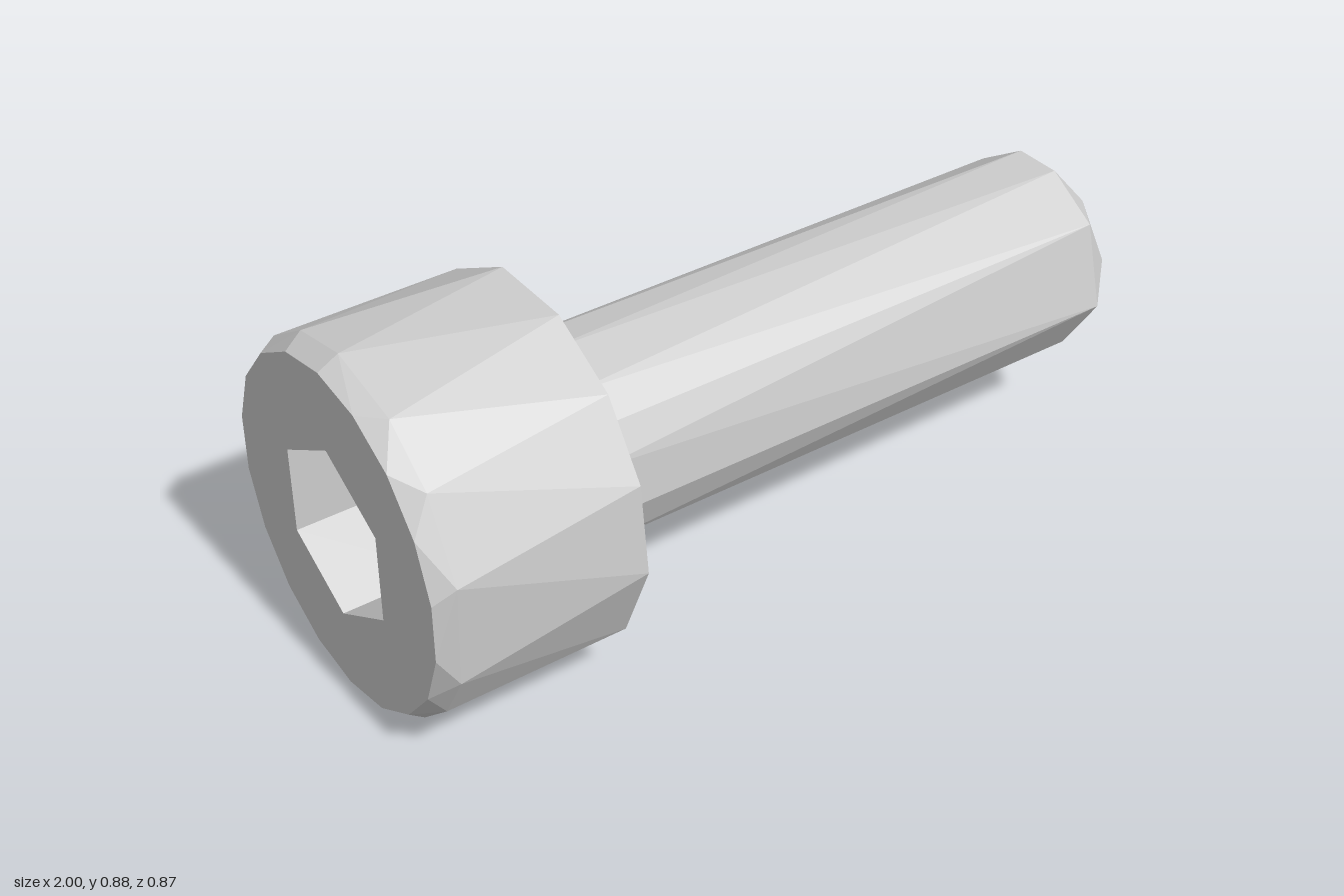
import * as THREE from 'three';

const AXIS_Y = 0.4375;
const RAD = Math.PI / 180;
const regular = (n, start = 0) => Array.from({ length: n }, (_, i) => start + (i * 360) / n);

// Rings lie across the x axis: position x, radius r, corner angles (from +z towards +y)
const ring = (x, r, angles) => ({ x, r, angles });

// Joins consecutive rings with triangles, even where their corner counts differ
function loft(name, rings, material) {
  const pos = [];
  const angle = (g, i) => g.angles[i % g.angles.length] + 360 * Math.floor(i / g.angles.length);
  const put = (g, i) => {
    const a = angle(g, i) * RAD;
    pos.push(g.x, AXIS_Y + g.r * Math.sin(a), g.r * Math.cos(a));
  };
  for (let k = 0; k + 1 < rings.length; k++) {
    const A = rings[k], B = rings[k + 1];
    const nA = A.angles.length, nB = B.angles.length;
    let i = 0, j = 0;
    while (i < nA || j < nB) {
      const midA = angle(A, i) + angle(A, i + 1), midB = angle(B, j) + angle(B, j + 1);
      if (j === nB || (i < nA && midA <= midB)) {
        if (A.r > 0) { put(A, i); put(B, j); put(A, i + 1); }
        i++;
      } else {
        if (B.r > 0) { put(A, i); put(B, j); put(B, j + 1); }
        j++;
      }
    }
  }
  const geometry = new THREE.BufferGeometry();
  geometry.setAttribute('position', new THREE.Float32BufferAttribute(pos, 3));
  geometry.computeVertexNormals();
  const mesh = new THREE.Mesh(geometry, material);
  mesh.name = name;
  return mesh;
}

export function createModel() {
  const material = new THREE.MeshStandardMaterial({ color: 0xcccccc, flatShading: true });
  const group = new THREE.Group();
  group.name = 'socketHeadScrew';

  const hex = regular(6, 30);
  const shoulder = [14, 41, 63, 90, 112, 133, 155, 174, 194, 216, 237, 270, 303, 321, 340];
  const headUnder = [20.5, 47, 74, 103, 133, 168, 198, 227, 255, 286, 321, 352];
  const neck = [20, 39, 60, 90, 113, 140, 152, 178, 205, 222, 245, 268, 300, 325, 350];
  const shankEnd = [39, 76, 104, 140, 170, 200, 245, 270, 304, 349];
  const tip = [12, 56, 90, 107, 145, 180, 232, 270, 287];

  // Hexagonal drive recess: floor and walls
  group.add(loft('hexSocket', [
    ring(-0.75, 0, hex),
    ring(-0.75, 0.2165, hex),
    ring(-1, 0.2165, hex),
  ], material));

  // Head: end face around the recess, eased rim, side and underside
  group.add(loft('head', [
    ring(-1, 0.2165, hex),
    ring(-1, 0.41, regular(18, 10)),
    ring(-0.95, 0.4375, shoulder),
    ring(-0.5, 0.4375, headUnder),
    ring(-0.5, 0.262, neck),
  ], material));

  // Shank: small fillet under the head, long body, chamfered tip
  group.add(loft('shank', [
    ring(-0.5, 0.262, neck),
    ring(-0.485, 0.25, neck),
    ring(0.95, 0.25, shankEnd),
    ring(1, 0.202, tip),
    ring(1, 0, tip),
  ], material));

  return group;
}
